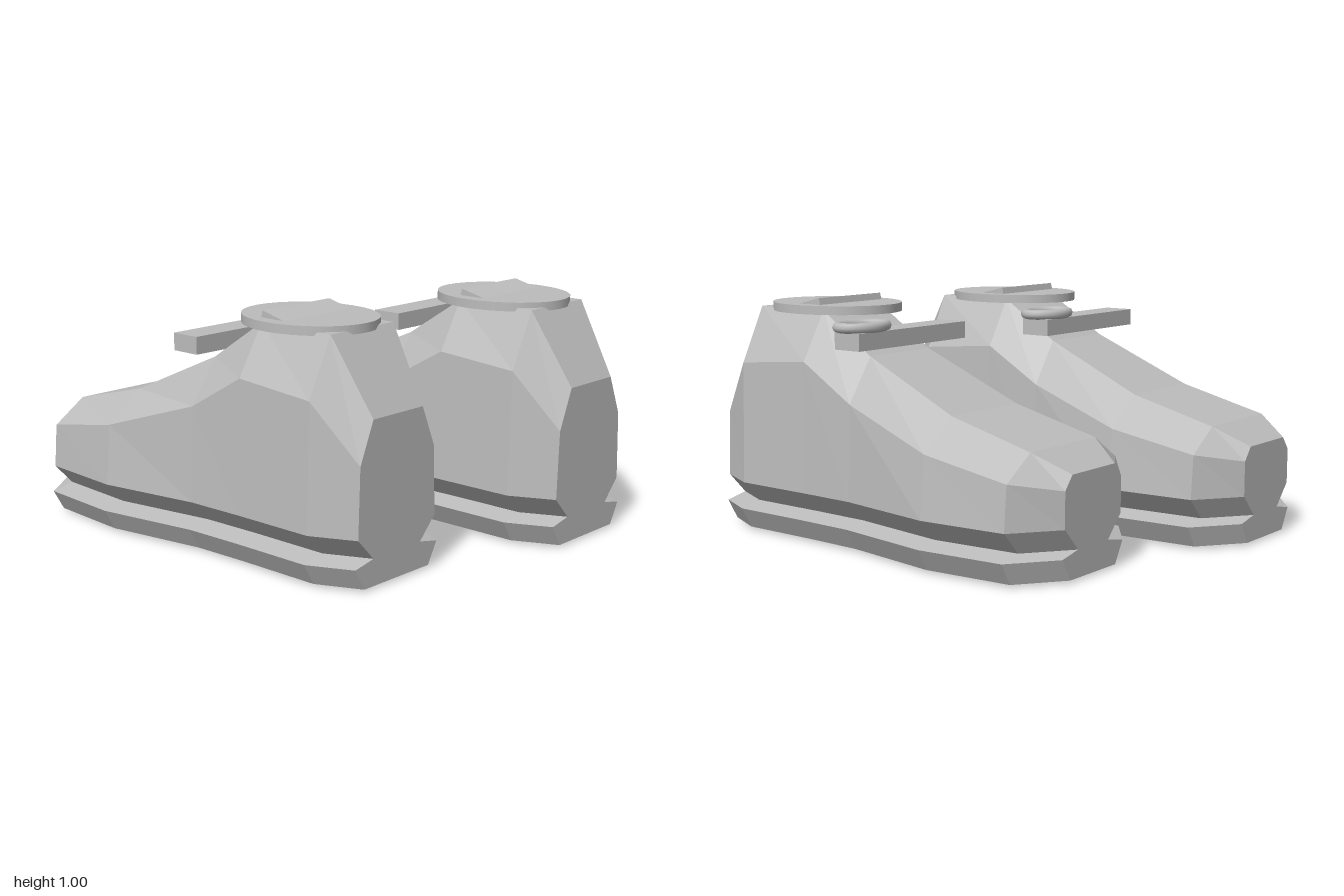
import * as THREE from 'three';

// Stations from toe to heel:
// z, sole edge half width, shoulder y, shoulder half width, top y, top half width
const STATIONS = [
  [-0.88, 0.20, 0.355, 0.185, 0.41, 0.14],
  [-0.74, 0.385, 0.39, 0.355, 0.487, 0.21],
  [-0.36, 0.41, 0.46, 0.37, 0.585, 0.205],
  [0.08, 0.335, 0.60, 0.305, 0.78, 0.18],
  [0.34, 0.325, 0.75, 0.295, 0.95, 0.175],
  [0.70, 0.32, 0.72, 0.29, 0.95, 0.175],
  [0.88, 0.235, 0.49, 0.21, 0.655, 0.14],
];

// Half outline of one cross-section, bottom to top, with the groove above the sole
function halfProfile([, w, shoulderY, shoulderW, topY, topW]) {
  return [
    [w - 0.05, 0.012], [w, 0.1], [w - 0.1, 0.12], [w - 0.015, 0.21],
    [shoulderW, shoulderY], [topW, topY],
  ];
}

// Mirrored cross-sections joined along z, closed at toe and heel
function bodyGeometry() {
  const pos = [], index = [];
  const rows = 6, n = rows * 2;
  for (const s of STATIONS) {
    const half = halfProfile(s);
    for (const [x, y] of half) pos.push(x, y, s[0]);
    for (const [x, y] of half.reverse()) pos.push(-x, y, s[0]);
  }
  const quad = (a, b, c, d) => index.push(a, b, c, a, c, d);
  for (let s = 0; s < STATIONS.length - 1; s++) {
    for (let j = 0; j < n; j++) {
      const k = (j + 1) % n, a = s * n, b = a + n;
      quad(a + j, a + k, b + k, b + j);
    }
  }
  const heel = (STATIONS.length - 1) * n;
  for (let i = 0; i < rows - 1; i++) {
    const r0 = i, r1 = i + 1, l1 = n - 2 - i, l0 = n - 1 - i;
    quad(heel + r0, heel + r1, heel + l1, heel + l0);
    quad(l0, l1, r1, r0);
  }
  const g = new THREE.BufferGeometry();
  g.setAttribute('position', new THREE.Float32BufferAttribute(pos, 3));
  g.setIndex(index);
  const flat = g.toNonIndexed();
  flat.computeVertexNormals();
  return flat;
}

function createShoe(material) {
  const shoe = new THREE.Group();
  const add = (name, geometry, x, y, z) => {
    const m = new THREE.Mesh(geometry, material);
    m.name = name;
    m.position.set(x, y, z);
    shoe.add(m);
    return m;
  };

  add('shoeBody', bodyGeometry(), 0, 0, 0);

  // Oval lid over the ankle, with a tilted pad on it
  const lid = add('ankleLid', new THREE.CylinderGeometry(1, 1, 0.036, 32), 0, 0.954, 0.43);
  lid.scale.set(0.245, 1, 0.29);
  const pad = add('ankleFlap', new THREE.BoxGeometry(0.37, 0.1, 0.16), 0, 0.932, 0.422);
  pad.rotation.x = 0.24;

  // Strap across the instep and its oval buckle
  add('strap', new THREE.BoxGeometry(0.65, 0.07, 0.13), 0, 0.852, 0.07);
  const ring = new THREE.TorusGeometry(0.114, 0.023, 8, 32);
  ring.rotateX(Math.PI / 2);
  ring.scale(1, 0.9, 0.71);
  add('buckle', ring, 0.222, 0.905, 0.083);

  // Thin tread bars under the forefoot
  for (const z of [-0.54, -0.385, -0.23]) {
    add('treadBar', new THREE.BoxGeometry(0.335, 0.02, 0.022), -0.117, 0.01, z);
  }
  return shoe;
}

export function createModel() {
  const model = new THREE.Group();
  const grey = new THREE.MeshStandardMaterial({ color: 0xbcbcbc });
  grey.name = 'lightGrey';

  // Two alike shoes, the left one a step behind
  for (const [name, side] of [['leftShoe', 1], ['rightShoe', -1]]) {
    const shoe = createShoe(grey);
    shoe.name = name;
    shoe.position.set(side * 0.456, 0, side * 0.12);
    model.add(shoe);
  }
  return model;
}
